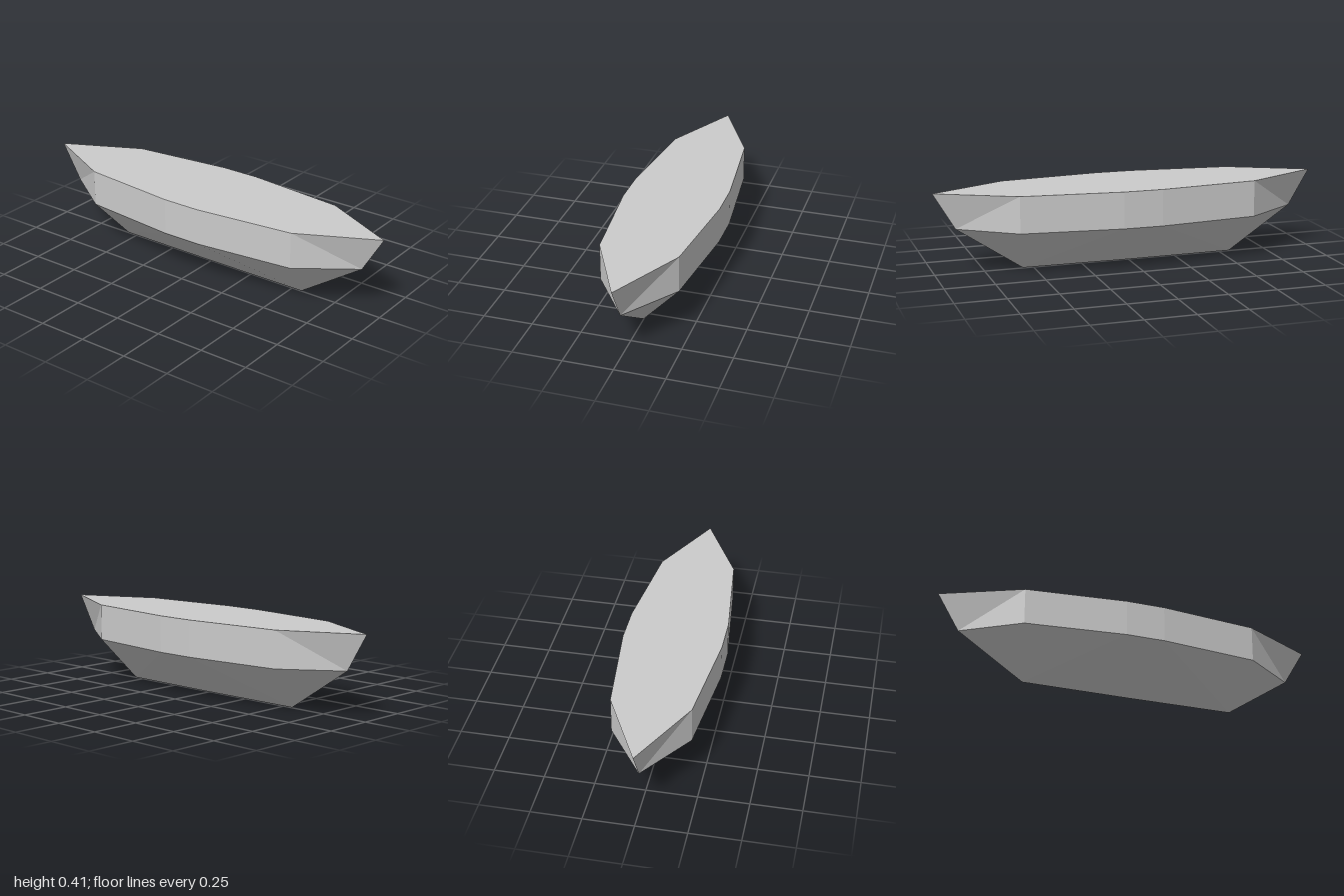
import * as THREE from 'three';

// Half-beam stations from the stem (z front) to midships: [x, z]
const sides = [[0.195, 0.61], [0.25, 0.1], [0.25, 0]];
const ring = (tipZ, y) => [[0, y, tipZ], ...sides.map(([x, z]) => [x, y, z])];
const rail = ring(1, 0.41);
const chine = ring(0.89, 0.225);
const keel = [0.555, 0.555, 0.555, 0].map((z) => [0, 0.002 * (z > 0), z]);

// Triangles between two rings, the upper one first
function strip(upper, lower) {
  const tris = [];
  for (let i = 0; i < upper.length - 1; i++) {
    tris.push([upper[i], lower[i], upper[i + 1]]);
    const same = lower[i].every((v, k) => v === lower[i + 1][k]);
    if (!same) tris.push([lower[i], lower[i + 1], upper[i + 1]]);
  }
  return tris;
}

// Mirror one quarter of the hull across x and z, flipping corner order as needed
function mirrored(tris, name, material) {
  const pos = [];
  for (const sx of [1, -1]) for (const sz of [1, -1]) {
    for (const [a, b, c] of tris) {
      for (const p of sx * sz > 0 ? [a, b, c] : [a, c, b]) pos.push(p[0] * sx, p[1], p[2] * sz);
    }
  }
  const geometry = new THREE.BufferGeometry();
  geometry.setAttribute('position', new THREE.Float32BufferAttribute(pos, 3));
  geometry.computeVertexNormals();
  const mesh = new THREE.Mesh(geometry, material);
  mesh.name = name;
  return mesh;
}

export function createModel() {
  const group = new THREE.Group();
  group.name = 'boatHull';
  const material = new THREE.MeshStandardMaterial({ color: 0xcccccc, flatShading: true });

  // Flat deck as a fan from the centre
  const deck = rail.slice(1).map((p, i) => [[0, 0.41, 0], rail[i], p]);
  group.add(mirrored(deck, 'deck', material));

  // Upright topsides with raked ends, then the V-shaped bottom
  group.add(mirrored(strip(rail, chine), 'topsides', material));
  group.add(mirrored(strip(chine, keel), 'bottom', material));
  return group;
}
